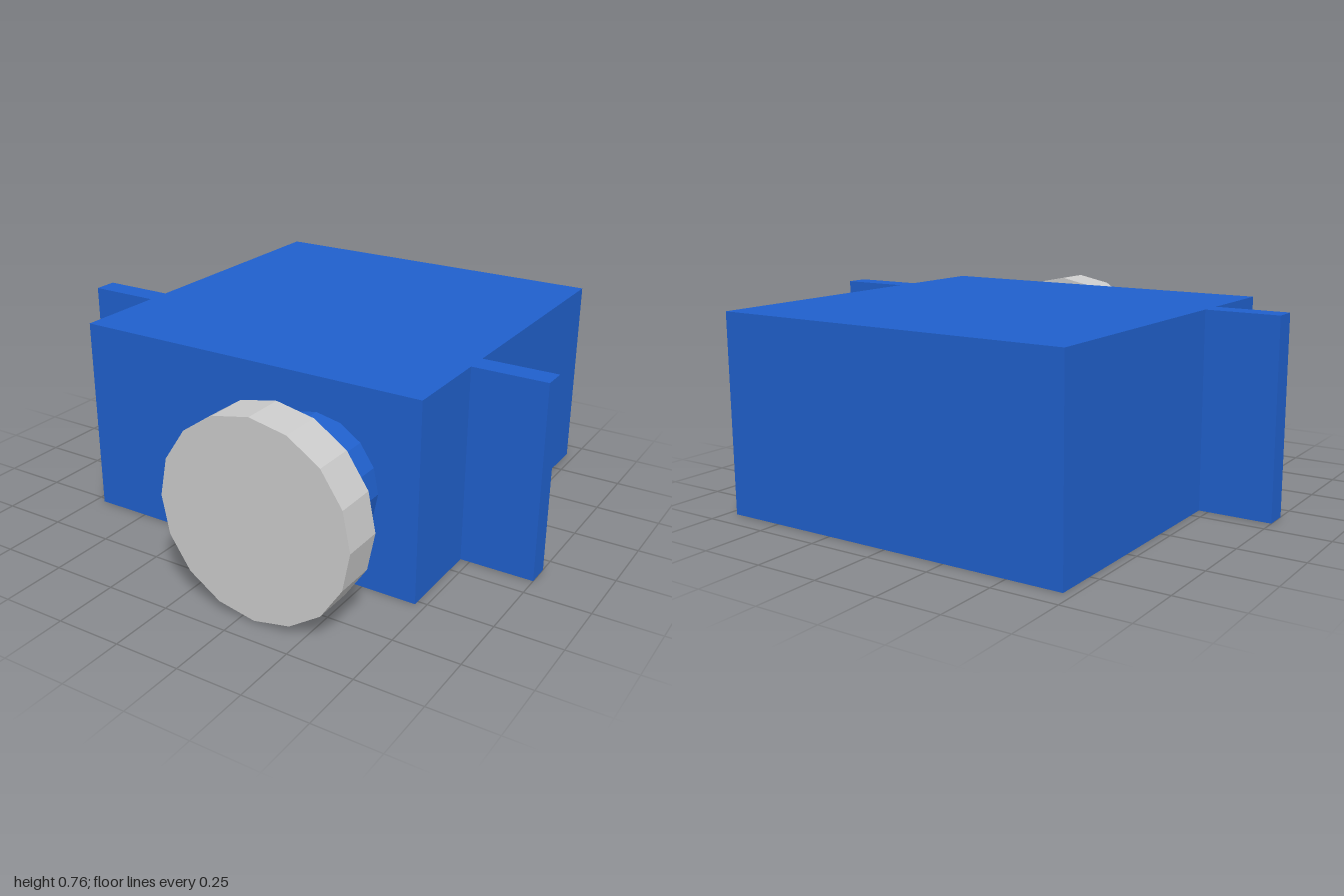
import * as THREE from 'three';

const HEIGHT = 0.763;
const KNOB_X = 0.31, KNOB_Y = 0.383;

export function createModel() {
  const group = new THREE.Group();
  const blue = new THREE.MeshStandardMaterial({ color: 0x2060cc, flatShading: true });
  const grey = new THREE.MeshStandardMaterial({ color: 0xcccccc, flatShading: true });

  function add(name, geometry, material, x, y, z) {
    const mesh = new THREE.Mesh(geometry, material);
    mesh.name = name;
    mesh.position.set(x, y, z);
    group.add(mesh);
  }

  // 16-sided cylinder lying along z, from z0 to z1
  function addRound(name, radius, z0, z1, material) {
    const geometry = new THREE.CylinderGeometry(radius, radius, z1 - z0, 16).rotateX(Math.PI / 2);
    add(name, geometry, material, KNOB_X, KNOB_Y, (z0 + z1) / 2);
  }

  // Main housing
  add('housing', new THREE.BoxGeometry(1.426, HEIGHT, 1.433), blue, 0, HEIGHT / 2, -0.196);

  // Mounting flanges on both sides
  for (const [name, side] of [['leftFlange', 1], ['rightFlange', -1]]) {
    add(name, new THREE.BoxGeometry(0.287, HEIGHT, 0.092), blue, side * 0.8565, HEIGHT / 2, 0.116);
  }

  // Output shaft and its disc, offset to the left
  addRound('shaft', 0.248, 0.52, 0.757, blue);
  addRound('disc', 0.373, 0.757, 0.913, grey);

  return group;
}
